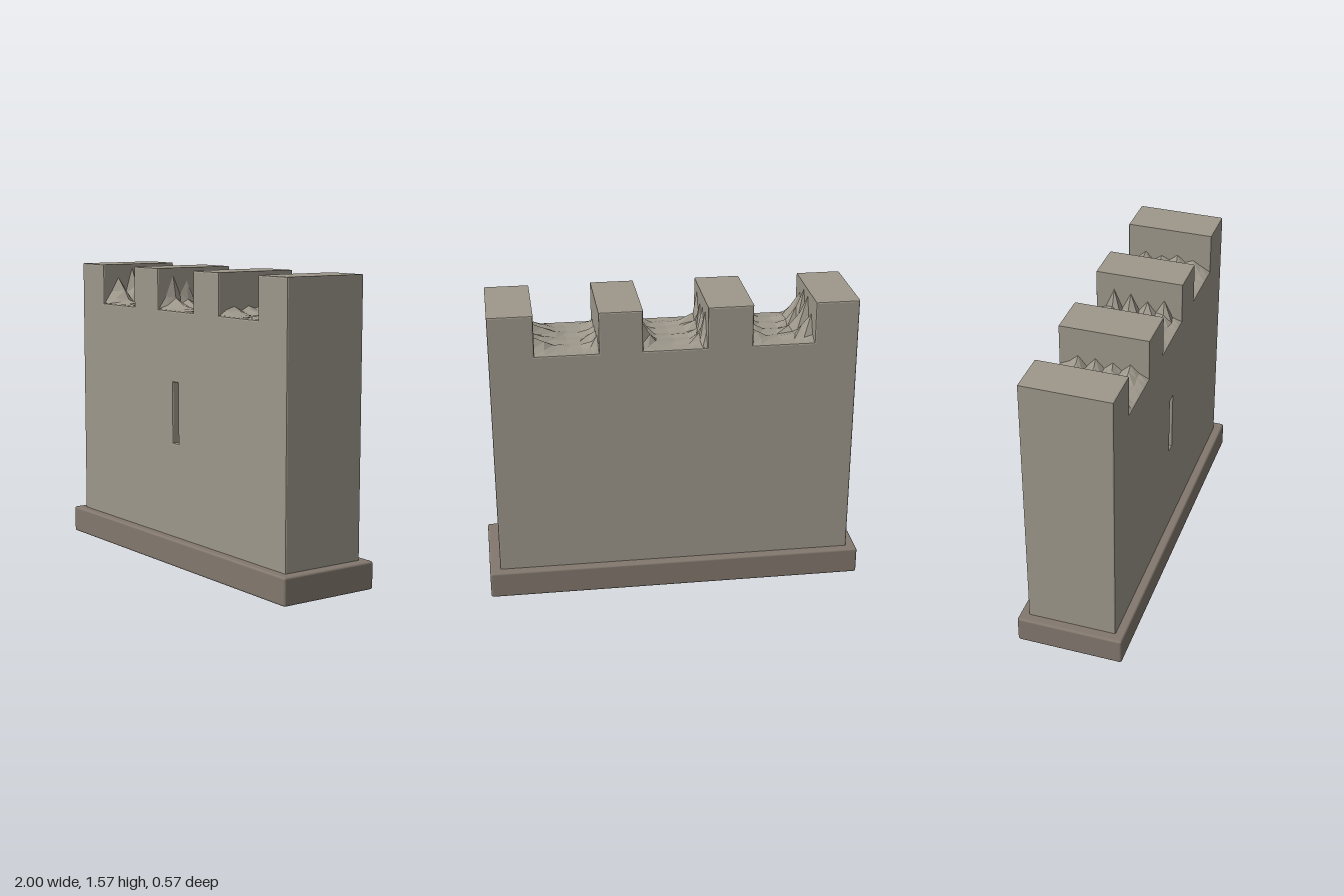
import * as THREE from 'three';
import { RoundedBoxGeometry } from 'three/addons/geometries/RoundedBoxGeometry.js';

const TOP = 1.573, FLOOR = 1.355, BASE_TOP = 0.145, BEVEL = 0.008;

// Gaps between merlons: x range plus rubble profile as [x, height above floor]
const NOTCHES = [
  { x: [-0.72, -0.4], rubble: [[-0.72, 0.2], [-0.67, 0.1], [-0.63, 0.03], [-0.56, 0.006], [-0.49, 0.015], [-0.44, 0.045], [-0.4, 0.07]] },
  { x: [-0.165, 0.165], rubble: [[-0.165, 0.19], [-0.14, 0.06], [-0.08, 0.02], [0, 0.006], [0.08, 0.015], [0.12, 0.05], [0.165, 0.13]] },
  { x: [0.39, 0.715], rubble: [[0.39, 0.08], [0.42, 0.04], [0.47, 0.012], [0.54, 0.006], [0.6, 0.02], [0.66, 0.055], [0.715, 0.09]] },
];

function seeded(seed) {
  return () => {
    seed = (seed * 16807) % 2147483647;
    return seed / 2147483647;
  };
}

// Crenellated outline of the wall
function wallShape() {
  const s = new THREE.Shape();
  s.moveTo(-0.948, BASE_TOP - 0.03);
  s.lineTo(0.945, BASE_TOP - 0.03);
  s.lineTo(0.945, TOP);
  for (const { x: [a, b] } of [...NOTCHES].reverse()) {
    s.lineTo(b, TOP);
    s.lineTo(b, FLOOR);
    s.lineTo(a, FLOOR);
    s.lineTo(a, TOP);
  }
  s.lineTo(-0.948, TOP);
  s.closePath();
  return s;
}

// Slab of the wall from z0 to z1 with softly bevelled edges
function slab(shape, z0, z1) {
  const g = new THREE.ExtrudeGeometry(shape, {
    depth: z1 - z0 - 2 * BEVEL, bevelEnabled: true, bevelThickness: BEVEL,
    bevelSize: BEVEL, bevelOffset: -BEVEL, bevelSegments: 2,
  });
  return g.translate(0, 0, z0 + BEVEL);
}

// Jagged broken stone heaped against both sides of a gap
function rubbleGeometry(profile, random) {
  const rows = 10, cols = profile.length, pos = [], index = [];
  for (let r = 0; r <= rows; r++) {
    const edge = r === 0 || r === rows;
    const side = [0, 1].map(() => (edge ? 0 : r % 2 ? 0.1 + 0.3 * random() : 0.5 + 0.5 * random()));
    profile.forEach(([x, h], c) => {
      const inner = c > 0 && c < cols - 1 && !edge;
      const z = -0.228 + (0.456 * r) / rows;
      pos.push(
        x + (inner ? (random() - 0.5) * 0.03 : 0),
        FLOOR + 0.002 + h * side[c < cols / 2 ? 0 : 1],
        z + (inner ? (random() - 0.5) * 0.02 : 0));
      if (r < rows && c < cols - 1) {
        const a = r * cols + c, b = a + cols;
        index.push(a, b, a + 1, a + 1, b, b + 1);
      }
    });
  }
  const g = new THREE.BufferGeometry();
  g.setAttribute('position', new THREE.Float32BufferAttribute(pos, 3));
  g.setIndex(index);
  const flat = g.toNonIndexed();
  flat.computeVertexNormals();
  return flat;
}

export function createModel() {
  const model = new THREE.Group();
  model.name = 'castleWall';
  const stone = new THREE.MeshStandardMaterial({ color: 0x9d978b });
  stone.name = 'wall stone';
  const darkStone = new THREE.MeshStandardMaterial({ color: 0x82786e });
  darkStone.name = 'plinth stone';

  const add = (name, geometry, material) => {
    const mesh = new THREE.Mesh(geometry, material);
    mesh.name = name;
    model.add(mesh);
    return mesh;
  };

  // Plinth
  add('plinth', new RoundedBoxGeometry(2, BASE_TOP, 0.566, 2, 0.012), darkStone)
    .position.y = BASE_TOP / 2;

  // Wall core, whose front closes the arrow slit
  add('wallCore', slab(wallShape(), -0.237, 0.125), stone);

  // Front layer, overlapping the core, with the arrow slit cut through
  const front = wallShape();
  const slit = new THREE.Path();
  slit.moveTo(-0.027, 0.652);
  slit.lineTo(-0.027, 0.978);
  slit.lineTo(0.025, 0.978);
  slit.lineTo(0.025, 0.652);
  slit.closePath();
  front.holes.push(slit);
  add('wallFront', slab(front, 0.09, 0.235), stone);

  // Rubble in the three gaps
  const random = seeded(4217);
  NOTCHES.forEach(({ rubble }, i) => add(`rubble${i + 1}`, rubbleGeometry(rubble, random), stone));

  return model;
}
